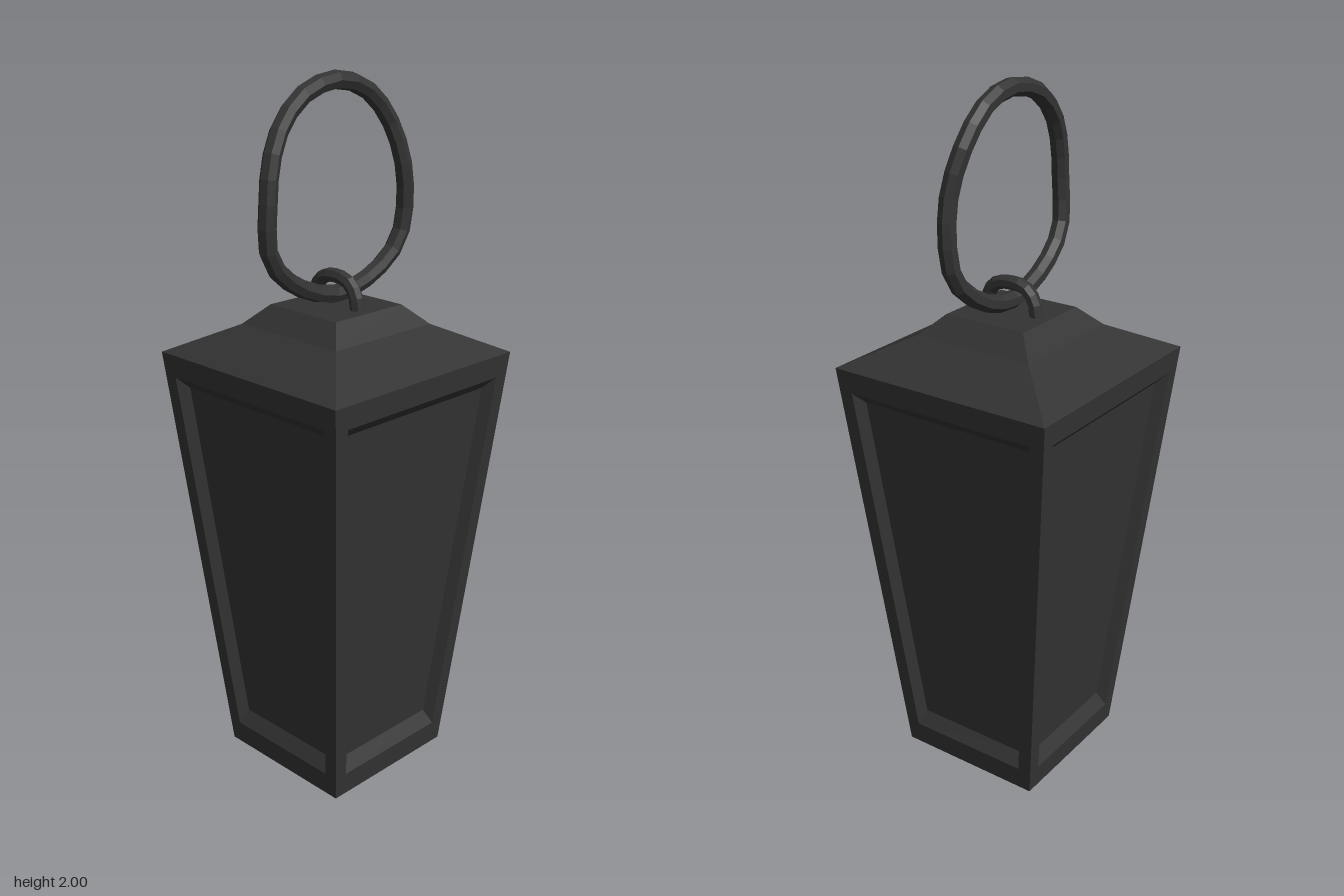
import * as THREE from 'three';

const material = new THREE.MeshStandardMaterial({ color: 0x333333, flatShading: true });

// Half width of the tapered body at height y
const BODY_TOP = 1.245;
const half = (y) => 0.222 + (0.34 - 0.222) * (y / BODY_TOP);

function mesh(name, geometry) {
  const m = new THREE.Mesh(geometry, material);
  m.name = name;
  return m;
}

// Four corners counter-clockwise from the lower left, on the sloping wall
function wallLoop(y0, y1, inset, depth) {
  const corner = (s, y) => [s * (half(y) - inset), y, half(y) - depth];
  return [corner(-1, y0), corner(1, y0), corner(1, y1), corner(-1, y1)];
}

function facesGeometry(quads) {
  const positions = [];
  for (const [a, b, c, d] of quads) positions.push(...a, ...b, ...c, ...a, ...c, ...d);
  const g = new THREE.BufferGeometry();
  g.setAttribute('position', new THREE.Float32BufferAttribute(positions, 3));
  g.computeVertexNormals();
  return g;
}

// Quads joining an outer loop to an inner loop
function band(outer, inner) {
  return outer.map((p, i) => {
    const j = (i + 1) % 4;
    return [p, outer[j], inner[j], inner[i]];
  });
}

// One wall: flat frame, bevelled edge and sunken panel
function createWall() {
  const outer = wallLoop(0, BODY_TOP, 0, 0);
  const opening = wallLoop(0.07, 1.18, 0.042, 0);
  const sunken = wallLoop(0.11, 1.147, 0.06, 0.03);
  const wall = new THREE.Group();
  wall.add(
    mesh('frame', facesGeometry(band(outer, opening))),
    mesh('panelBevel', facesGeometry(band(opening, sunken))),
    mesh('panel', facesGeometry([sunken])),
  );
  return wall;
}

// Square stepped roof made of stacked four-sided rings
function createRoof() {
  const profile = [[0.34, BODY_TOP], [0.182, 1.325], [0.126, 1.38]];
  const loops = profile.map(([h, y]) => [[-h, y, h], [h, y, h], [h, y, -h], [-h, y, -h]]);
  const quads = [...band(loops[0], loops[1]), ...band(loops[1], loops[2]), loops[2]];
  return mesh('roof', facesGeometry(quads));
}

function createTube(name, points, radius, segments, closed) {
  const curve = new THREE.CatmullRomCurve3(points.map((p) => new THREE.Vector3(...p)), closed);
  return mesh(name, new THREE.TubeGeometry(curve, segments, radius, 7, closed));
}

export function createModel() {
  const model = new THREE.Group();
  model.name = 'lantern';

  // Body walls
  const body = new THREE.Group();
  body.name = 'body';
  for (let i = 0; i < 4; i++) {
    const wall = createWall();
    wall.name = `wall${i + 1}`;
    wall.rotation.y = (i * Math.PI) / 2;
    body.add(wall);
  }
  const base = mesh('base', new THREE.PlaneGeometry(2 * half(0), 2 * half(0)));
  base.rotation.x = Math.PI / 2;
  body.add(base);
  model.add(body, createRoof());

  // Small fixed loop on the roof
  model.add(createTube('roofLoop', [
    [-0.083, 1.36, 0], [-0.073, 1.42, 0], [-0.045, 1.452, 0], [0, 1.46, 0],
    [0.045, 1.452, 0], [0.073, 1.42, 0], [0.083, 1.36, 0],
  ], 0.02, 12, false));

  // Hand-bent carrying ring
  model.add(createTube('carryRing', [
    [0, 1.975, 0], [0, 1.945, 0.12], [0.005, 1.88, 0.196], [0.015, 1.8, 0.242],
    [0.02, 1.69, 0.261], [0.012, 1.55, 0.25], [0.003, 1.46, 0.152], [0, 1.41, 0],
    [0.003, 1.445, -0.14], [0.012, 1.52, -0.228], [0.018, 1.61, -0.25],
    [0.022, 1.74, -0.236], [0.005, 1.86, -0.195], [0, 1.945, -0.11],
  ], 0.025, 28, true));

  return model;
}
